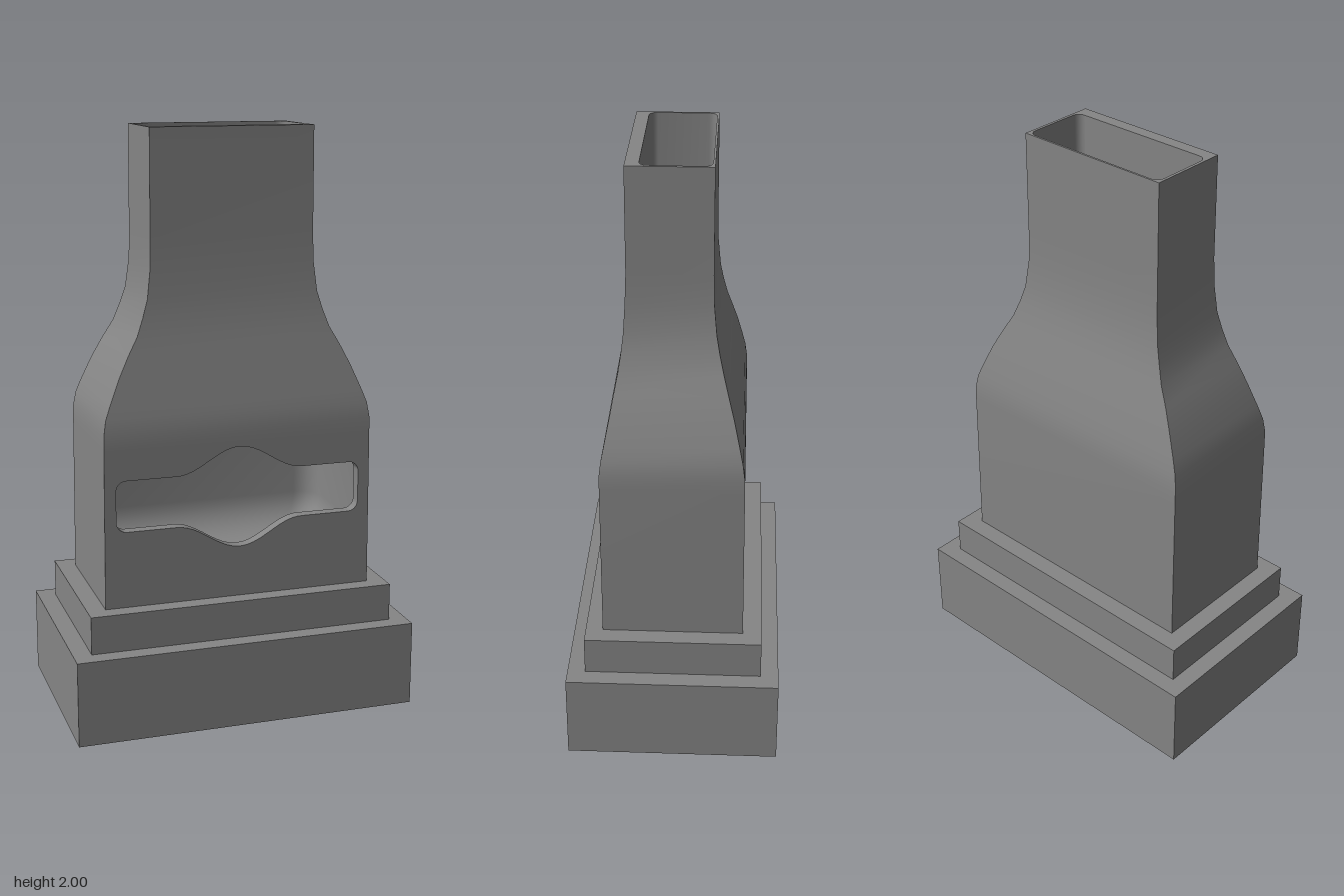
import * as THREE from 'three';
import { toCreasedNormals } from 'three/addons/utils/BufferGeometryUtils.js';

const material = new THREE.MeshStandardMaterial({ color: 0x858585, side: THREE.DoubleSide });

// Outer profile of the hood: [y, half width, front z, back z]
const PROFILE = [
  [0.42, 0.47, 0.24, -0.235], [0.97, 0.466, 0.24, -0.231], [1.02, 0.465, 0.24, -0.23],
  [1.07, 0.457, 0.234, -0.223], [1.12, 0.438, 0.224, -0.212], [1.2, 0.404, 0.208, -0.193],
  [1.27, 0.369, 0.195, -0.173], [1.33, 0.335, 0.183, -0.156], [1.39, 0.313, 0.174, -0.142],
  [1.45, 0.295, 0.167, -0.131], [1.55, 0.283, 0.161, -0.122], [1.65, 0.281, 0.157, -0.12],
  [2.0, 0.28, 0.157, -0.12],
];
const FRONT = 0.24, MID = 0.776, MOUTH = 0.428;
const INNER_FRONT = 0.2, FLOOR = 0.5, COVE = 0.14;

// Skin a list of equally long rows of points
function skin(rows, closed = false) {
  const n = rows[0].length, index = [];
  for (let r = 0; r < rows.length - 1; r++) {
    for (let i = 0; i < (closed ? n : n - 1); i++) {
      const j = (i + 1) % n, a = r * n + i, b = r * n + j;
      index.push(a, b, b + n, a, b + n, a + n);
    }
  }
  const geometry = new THREE.BufferGeometry();
  geometry.setAttribute('position', new THREE.Float32BufferAttribute(rows.flat(2), 3));
  geometry.setIndex(index);
  return toCreasedNormals(geometry, 0.7);
}

const path = (list) => list.map(([x, y]) => new THREE.Vector2(x, y));

// Half height of the fire mouth (wide slot with a central swell and rounded ends)
function mouthHalf(x) {
  const d = MOUTH - Math.abs(x), r = 0.035;
  const swell = Math.abs(x) < 0.22 ? 0.0435 * (1 + Math.cos(Math.PI * x / 0.22)) : 0;
  const round = d < r ? r - Math.sqrt(r * r - (r - d) ** 2) : 0;
  return 0.088 + swell - round;
}

// Mouth outline as [x, y] points: upper edge, then lower edge
function mouthOutline() {
  const points = [], N = 56;
  for (const s of [1, -1]) {
    for (let i = 0; i <= N; i++) {
      const x = -s * MOUTH * Math.cos(Math.PI * i / N);
      points.push([x, MID + s * mouthHalf(x)]);
    }
  }
  return points;
}

// Horizontal section of the hollow, from the front left corner round the back to the front right
function hollowRing(y, w, front, back, frontRadius, backRadius) {
  const ring = [], N = 5;
  const corners = [[1, front, frontRadius], [1, back, backRadius], [-1, back, backRadius], [-1, front, frontRadius]];
  corners.forEach(([s, z, r], c) => {
    const cz = z === front ? z - r : z + r;
    for (let i = 0; i <= N; i++) {
      const a = Math.PI / 2 * (1 - c - i / N);
      ring.push([s * (w - r) + r * Math.cos(a), y, cz + r * Math.sin(a)]);
    }
  });
  return ring;
}

// Section of the hollow that follows a row of the outer profile
function followRing([y, w]) {
  const k = (w - 0.28) / (0.466 - 0.28);
  return hollowRing(y, 0.27 + k * 0.162, 0.113 + k * (INNER_FRONT - 0.113), -0.113 - k * 0.077,
    0.002 + 0.026 * (1 - k), 0.028 + 0.052 * k);
}

export function createModel() {
  const group = new THREE.Group();
  const add = (name, geometry, x = 0, y = 0, z = 0) => {
    const mesh = new THREE.Mesh(geometry, material);
    mesh.name = name;
    mesh.position.set(x, y, z);
    group.add(mesh);
    return mesh;
  };

  // Stepped base
  add('hearthBase', new THREE.BoxGeometry(1.19, 0.295, 0.716), 0, 0.1475, 0);
  add('hearthStep', new THREE.BoxGeometry(1.066, 0.13, 0.596), 0, 0.36, 0);

  // Hood walls; the front strip starts above the flat panel with the mouth
  const upper = PROFILE.slice(1);
  add('hoodFront', skin(upper.map(([y, w, f]) => [[-w, y, f], [w, y, f]])));
  add('hoodBack', skin(PROFILE.map(([y, w, , b]) => [[w, y, b], [-w, y, b]])));
  for (const s of [1, -1]) {
    add(s > 0 ? 'hoodLeft' : 'hoodRight', skin(PROFILE.map(([y, w, f, b]) => {
      const row = [[s * w, y, f], [s * w, y, b]];
      return s > 0 ? row : row.reverse();
    })));
  }

  // Front wall pierced by the mouth: outer face, inner face and the reveal between them
  const mouth = mouthOutline();
  const pierced = (outline) => {
    const shape = new THREE.Shape(path(outline));
    shape.holes.push(new THREE.Path(path(mouth)));
    return new THREE.ShapeGeometry(shape);
  };
  add('mouthPanel', pierced([[-0.47, 0.42], [0.47, 0.42], [0.466, 0.97], [-0.466, 0.97]]), 0, 0, FRONT);
  const lining = pierced([[-0.432, FLOOR], [0.432, FLOOR], [0.432, 0.97], [-0.432, 0.97]]);
  add('mouthLining', lining.rotateY(Math.PI), 0, 0, INNER_FRONT);
  add('mouthReveal', skin([FRONT, INNER_FRONT].map((z) => mouth.map(([x, y]) => [x, y, z])), true));

  // Fire chamber with a coved floor, narrowing upwards into the flue
  const rows = [];
  for (let i = 0; i <= 8; i++) {
    const a = Math.PI / 2 * i / 8, inset = COVE * (1 - Math.sin(a));
    rows.push(hollowRing(FLOOR + COVE * (1 - Math.cos(a)), 0.432 - inset, INNER_FRONT, -0.19 + inset, 0.002, 0.08));
  }
  const flue = upper.map(followRing);
  add('fireChamber', skin([...rows, ...flue].map((ring) => ring.reverse())));
  add('flueFrontWall', skin(flue.map((ring) => [ring[0], ring[ring.length - 1]].reverse())));
  add('chamberFloor', skin([rows[0].map(() => [0, FLOOR, 0.08]), rows[0]], true));

  // Rim around the flue outlet (shape y becomes -z)
  const rim = new THREE.Shape(path([[-0.28, -0.157], [0.28, -0.157], [0.28, 0.12], [-0.28, 0.12]]));
  rim.holes.push(new THREE.Path(path(flue[flue.length - 1].map(([x, , z]) => [x, -z]))));
  add('flueRim', new THREE.ShapeGeometry(rim), 0, 2, 0).rotation.x = -Math.PI / 2;

  return group;
}
